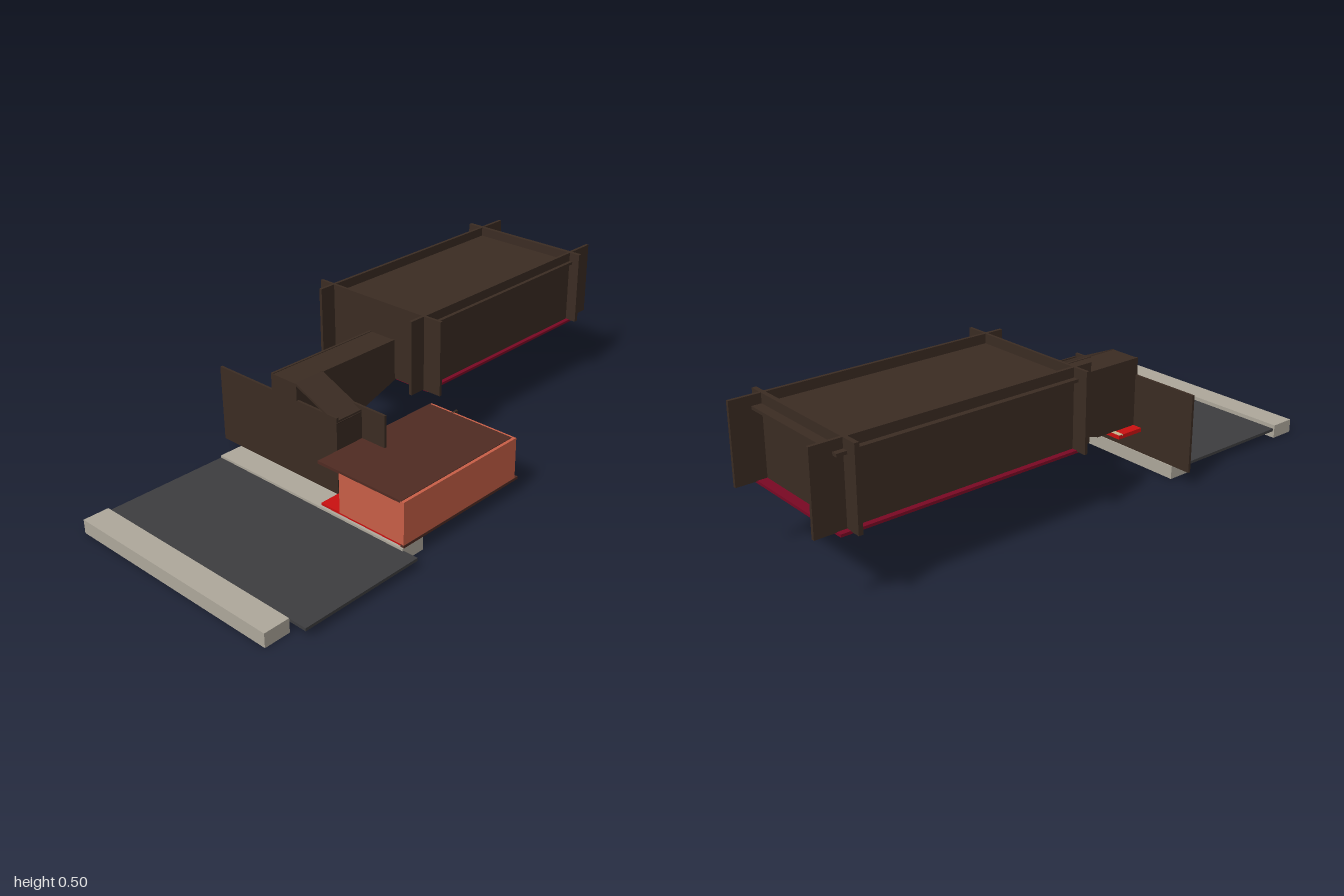
import * as THREE from 'three';

const mat = (name, color) => {
  const m = new THREE.MeshStandardMaterial({ color });
  m.name = name;
  return m;
};

export function createModel() {
  const model = new THREE.Group();
  const dark = mat('darkTimber', 0x3b2c23);
  const salmon = mat('salmonWall', 0xc95f47);
  const roofRed = mat('redBrownRoof', 0x502b23);
  const stone = mat('paleStone', 0xafa99c);
  const asphalt = mat('asphalt', 0x3e3e40);
  const red = mat('brightRed', 0xcc1010);
  const crimson = mat('crimsonFloor', 0x7a0824);
  const tan = mat('tanBoard', 0xc8b890);

  // Box from its lower and upper limits on each axis
  const box = (name, m, x0, x1, y0, y1, z0, z1, parent = model) => {
    const mesh = new THREE.Mesh(new THREE.BoxGeometry(x1 - x0, y1 - y0, z1 - z0), m);
    mesh.position.set((x0 + x1) / 2, (y0 + y1) / 2, (z0 + z1) / 2);
    mesh.name = name;
    parent.add(mesh);
    return mesh;
  };
  // Upright slab from an outline of [x, y] points, thickened along z
  const slab = (name, m, pts, z0, depth) => {
    const shape = new THREE.Shape(pts.map(([x, y]) => new THREE.Vector2(x, y)));
    const mesh = new THREE.Mesh(new THREE.ExtrudeGeometry(shape, { depth, bevelEnabled: false }), m);
    mesh.position.z = z0;
    mesh.name = name;
    model.add(mesh);
    return mesh;
  };

  // Road between two kerbs
  box('outerKerb', stone, -1, -0.91, 0, 0.048, -0.4, 0.42);
  box('innerKerb', stone, -0.46, -0.37, 0, 0.046, -0.4, 0.42);
  box('road', asphalt, -0.902, -0.455, 0.028, 0.038, -0.4, 0.475);

  // Lower pavilion: salmon walls, open to the north, with a red-brown roof
  box('pavilionFrontWall', salmon, -0.46, 0.065, 0.06, 0.206, 0.41, 0.425);
  box('pavilionEastWall', salmon, 0.052, 0.065, 0.06, 0.206, 0.07, 0.41);
  box('pavilionWestWall', salmon, -0.46, -0.45, 0.06, 0.2, 0.16, 0.41);
  box('pavilionRoof', roofRed, -0.46, 0.055, 0.198, 0.208, 0.07, 0.414);
  box('pavilionFloor', red, -0.455, 0.07, 0.05, 0.058, 0.075, 0.42);
  box('frontSill', roofRed, -0.46, 0.08, 0.051, 0.06, 0.412, 0.426);
  box('eastSill', roofRed, 0.052, 0.072, 0.051, 0.06, 0.07, 0.412);
  box('eastPost', dark, 0.06, 0.085, 0.05, 0.206, 0.16, 0.168);
  box('eastDoorFin', red, 0.06, 0.082, 0.05, 0.16, 0.37, 0.375);
  for (let i = 0; i < 4; i++) {
    const z = 0.125 + i * 0.075;
    box('floorBatten', tan, -0.45, 0.05, 0.0485, 0.052, z, z + 0.018);
  }

  // Stair hall walls standing along z
  box('westStairWall', dark, -0.376, -0.367, 0.05, 0.32, -0.476, 0.07);
  box('eastStairWall', dark, -0.266, -0.257, 0.05, 0.32, -0.106, 0.167);
  box('stairFrontPanel', dark, -0.372, -0.26, 0.205, 0.31, 0.064, 0.07);

  // Sloping roof over the first flight
  const run = 0.18, rise = 0.078;
  const slope = box('lowerStairRoof', dark, -0.376, -0.258, -0.004, 0.004, -Math.hypot(run, rise) / 2, Math.hypot(run, rise) / 2);
  slope.position.set(-0.317, 0.338, -0.02);
  slope.rotation.x = Math.atan2(rise, run);

  // Upper corridor: raking walls under a flat roof
  const rake = (x) => [[x, 0.14], [-0.2, 0.14], [0.08, 0.232], [0.08, 0.38], [x, 0.38]];
  slab('corridorNorthWall', dark, rake(-0.376), -0.222, 0.009);
  slab('corridorSouthWall', dark, rake(-0.262), -0.115, 0.009);
  box('corridorRoof', dark, -0.376, 0.08, 0.37, 0.378, -0.222, -0.106);
  box('corridorStairHeader', dark, -0.376, -0.262, 0.32, 0.378, -0.115, -0.106);
  box('corridorWestWall', dark, -0.376, -0.368, 0.3, 0.378, -0.222, -0.106);

  // First flight runs north, second flight runs east
  for (let i = 0; i < 9; i++) {
    const z = 0.165 - i * 0.03, y = 0.045 + i * 0.01;
    box('lowerStep', red, -0.362, -0.27, y, y + 0.01, z - 0.032, z);
  }
  box('landing', red, -0.367, -0.262, 0.126, 0.14, -0.258, -0.106);
  box('landingPatch', tan, -0.28, -0.261, 0.1255, 0.1405, -0.2, -0.172);
  box('landingEdge', tan, -0.28, -0.263, 0.136, 0.1412, -0.258, -0.2);
  for (let i = 0; i < 10; i++) {
    const x = -0.262 + i * 0.034, y = 0.14 + i * 0.0092;
    box('upperStep', i === 3 || i === 4 ? tan : red, x, x + 0.036, y, y + 0.0095, -0.213, -0.115);
  }

  // Main hall: long and cross walls that run past each other at the corners
  for (const z of [0.014, -0.401])
    box('hallLongWall', dark, 0.015, 1, 0.238, 0.502, z, z + 0.011);
  box('hallWestWall', dark, 0.075, 0.085, 0.236, 0.502, -0.455, 0.096);
  box('hallEastWall', dark, 0.882, 0.897, 0.238, 0.502, -0.455, 0.066);
  box('hallRoof', dark, 0.08, 0.93, 0.46, 0.47, -0.42, 0.038);
  box('hallFloor', crimson, 0.08, 0.93, 0.231, 0.24, -0.42, 0.04);

  return model;
}
